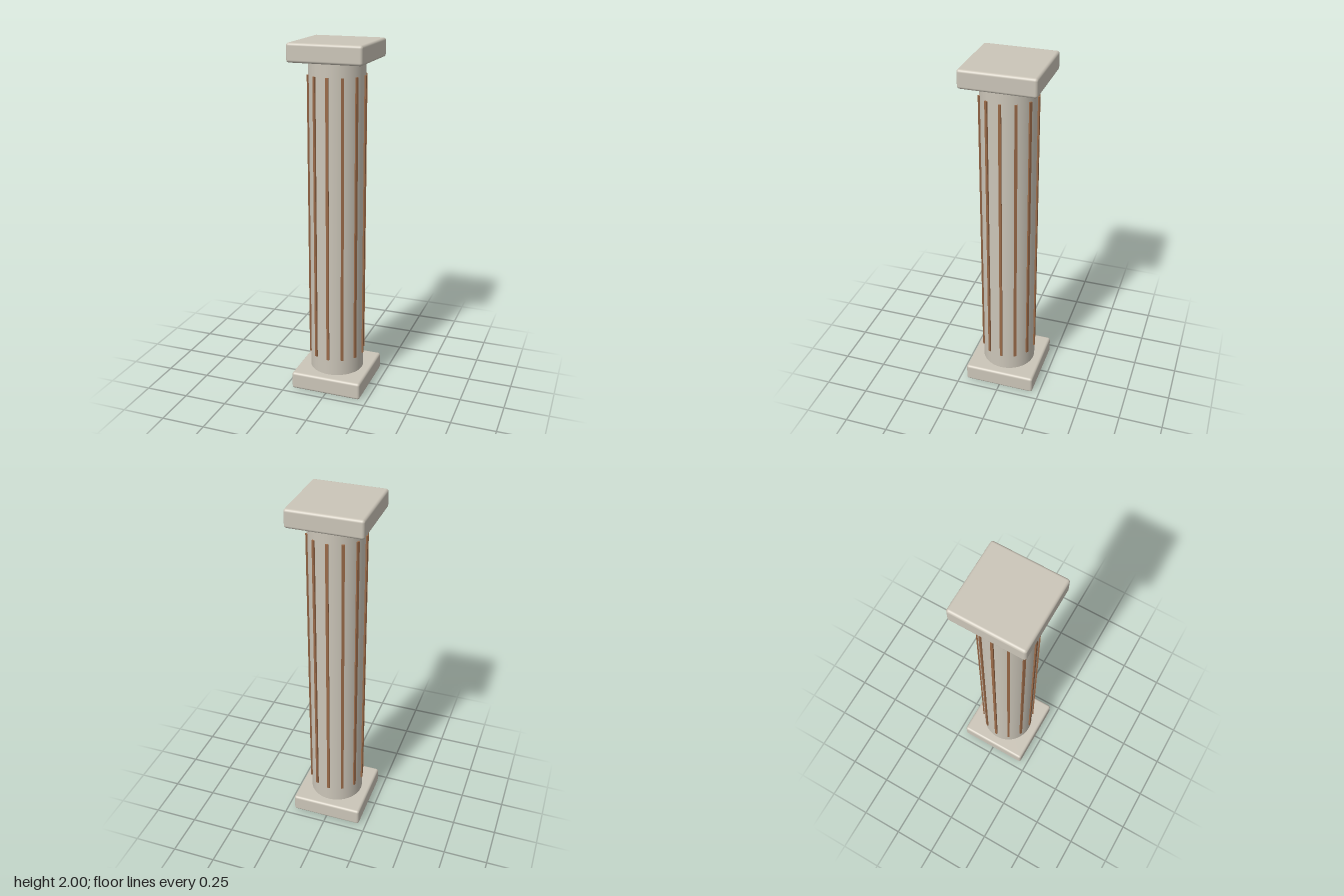
import * as THREE from 'three';
import { RoundedBoxGeometry } from 'three/addons/geometries/RoundedBoxGeometry.js';

export function createModel() {
  const group = new THREE.Group();
  const stone = new THREE.MeshStandardMaterial({ color: 0xcbc5b8 });
  stone.name = 'pale stone';
  const copper = new THREE.MeshStandardMaterial({ color: 0x9a6a48 });
  copper.name = 'copper brown';

  const add = (name, geometry, material, x, y, z) => {
    const mesh = new THREE.Mesh(geometry, material);
    mesh.name = name;
    mesh.position.set(x, y, z);
    group.add(mesh);
    return mesh;
  };

  // Square slabs with softened edges, below and above the shaft
  const slab = new RoundedBoxGeometry(0.416, 0.102, 0.416, 4, 0.015);
  add('base', slab, stone, 0, 0.051, 0);
  add('capital', slab, stone, 0, 1.949, 0);

  // Round shaft
  add('shaft', new THREE.CylinderGeometry(0.155, 0.155, 1.82, 48), stone, 0, 1, 0);

  // Twelve slim vertical strips, slightly proud of the shaft
  const strip = new THREE.BoxGeometry(0.015, 1.625, 0.016);
  const count = 12;
  for (let i = 0; i < count; i++) {
    const a = (i / count) * Math.PI * 2;
    const r = 0.155;
    const mesh = add('strip' + (i + 1), strip, copper, Math.sin(a) * r, 1.0105, Math.cos(a) * r);
    mesh.rotation.y = a;
  }

  return group;
}
